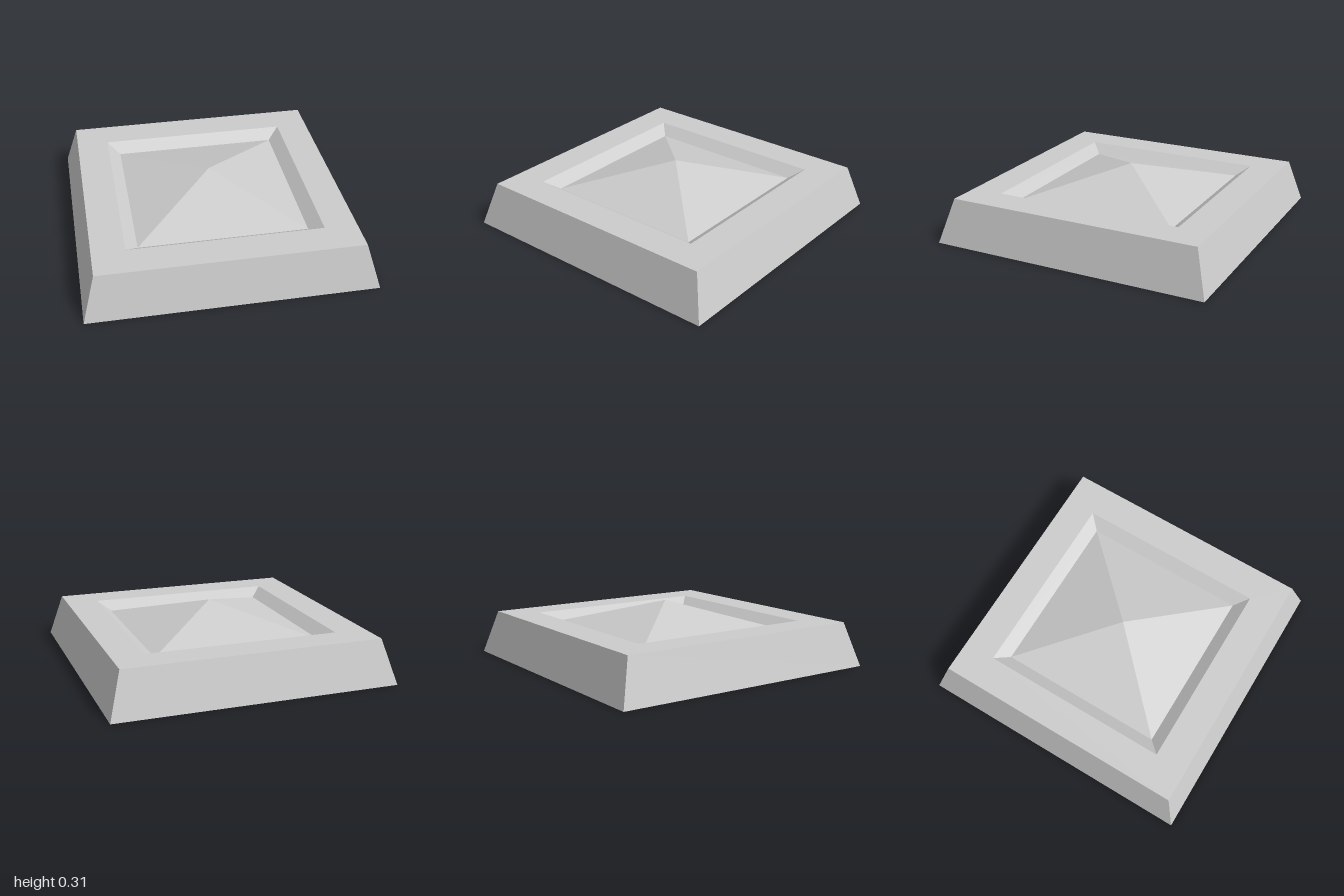
import * as THREE from 'three';

export function createModel() {
  const model = new THREE.Group();
  model.name = 'squareStud';
  const grey = new THREE.MeshStandardMaterial({ color: 0xcccccc, flatShading: true });
  grey.name = 'light grey';

  // four-sided turned part with its corners on the x and z axes
  const addPart = (name, profile) => {
    const points = profile.map(([r, y]) => new THREE.Vector2(r, y));
    const geometry = new THREE.LatheGeometry(points, 4).toNonIndexed();
    geometry.computeVertexNormals();
    const mesh = new THREE.Mesh(geometry, grey);
    mesh.name = name;
    model.add(mesh);
  };

  // underside, sloped outer wall, flat rim and sloped recess wall
  addPart('base', [[0, 0], [1, 0], [0.91, 0.222], [0.68, 0.222], [0.592, 0.177]]);
  // shallow pyramid rising from the recess
  addPart('pyramid', [[0.592, 0.177], [0, 0.31]]);

  return model;
}
